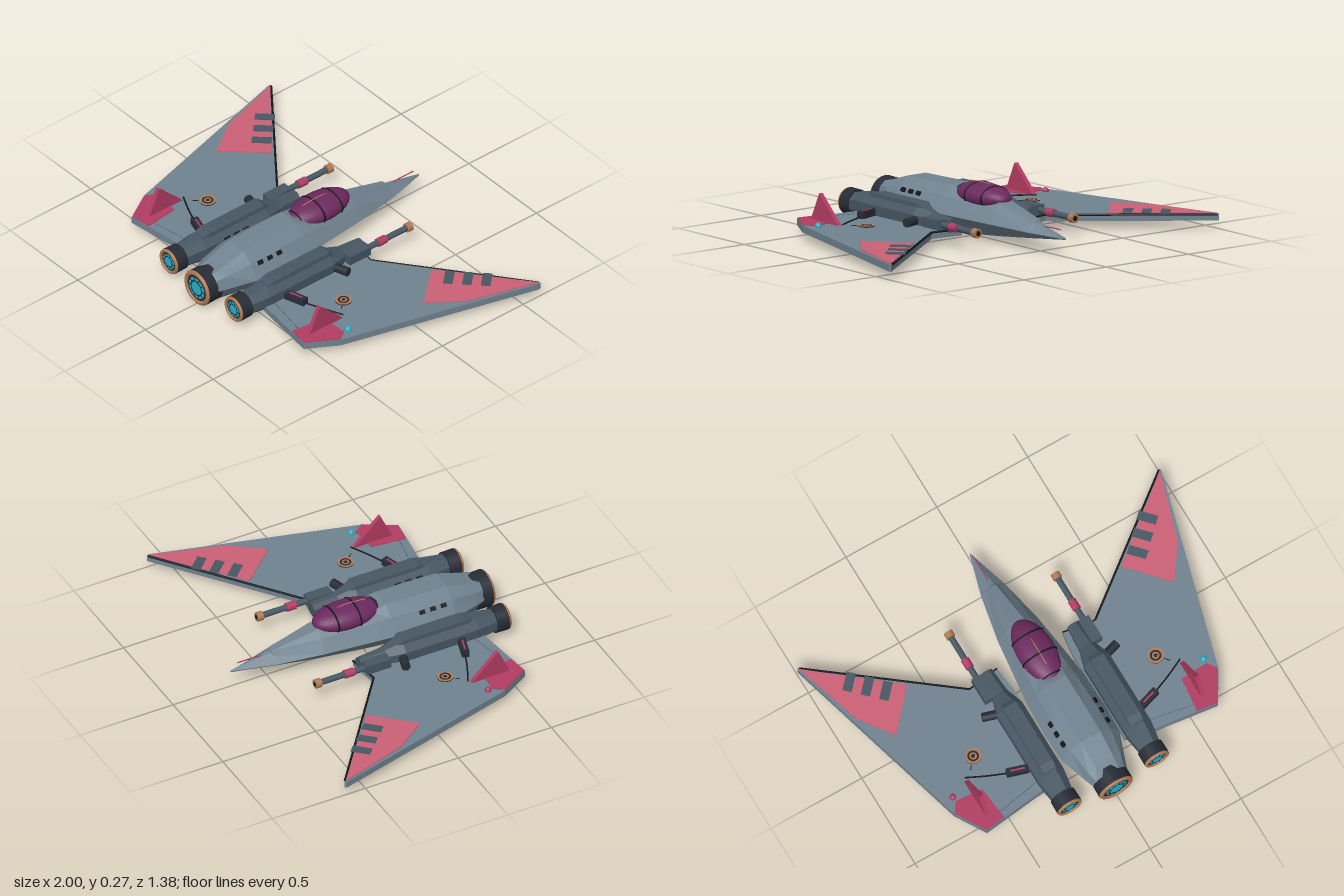
import * as THREE from 'three';

const mat = (name, color, extra = {}) => {
  const m = new THREE.MeshStandardMaterial({ color, ...extra });
  m.name = name;
  return m;
};

export function createModel() {
  const flat = { flatShading: true };
  const hullGrey = mat('hull grey', 0x708390, flat);
  const slate = mat('dark slate', 0x475763, flat);
  const charcoal = mat('charcoal', 0x272c36);
  const black = mat('black trim', 0x14161b);
  const copper = mat('copper', 0xb07a52);
  const cyan = mat('cyan glow', 0x27b3cc);
  const pink = mat('faded pink', 0xcc6075);
  const crimson = mat('crimson', 0xb23c62);
  const plum = mat('plum glass', 0x6c295f);

  const root = new THREE.Group();
  const add = (name, geo, material, x = 0, y = 0, z = 0, parent = root) => {
    const m = new THREE.Mesh(geo, material);
    m.name = name;
    m.position.set(x, y, z);
    parent.add(m);
    return m;
  };
  // cylinder along z from z0 (radius r0) to z1 (radius r1)
  const rod = (name, material, x, y, z0, z1, r0, r1 = r0, sides = 20) =>
    add(name, new THREE.CylinderGeometry(r1, r0, z1 - z0, sides).rotateX(Math.PI / 2), material, x, y, (z0 + z1) / 2);
  // horizontal plate from [x, z] corners, mirrored by s
  const plate = (name, pts, y, h, material, s) => {
    const shape = new THREE.Shape(pts.map(([x, z]) => new THREE.Vector2(x * s, -z)));
    const geo = new THREE.ExtrudeGeometry(shape, { depth: h, bevelEnabled: false }).rotateX(-Math.PI / 2);
    return add(name, geo, material, 0, y, 0);
  };
  const cable = (name, pts, r, material) => add(name, new THREE.TubeGeometry(
    new THREE.CatmullRomCurve3(pts.map(p => new THREE.Vector3(...p))), 8, r, 6), material);

  // body skin through closed rings, ordered by rising z
  const loft = rings => {
    const v = [], n = rings[0].length;
    for (let i = 0; i < rings.length - 1; i++) for (let j = 0; j < n; j++) {
      const a = rings[i][j], b = rings[i][(j + 1) % n], c = rings[i + 1][(j + 1) % n], d = rings[i + 1][j];
      v.push(...a, ...b, ...c, ...a, ...c, ...d);
    }
    const f = rings[0], e = rings[rings.length - 1];
    for (let j = 1; j < n - 1; j++) v.push(...f[0], ...f[j + 1], ...f[j], ...e[0], ...e[j], ...e[j + 1]);
    const g = new THREE.BufferGeometry();
    g.setAttribute('position', new THREE.Float32BufferAttribute(v, 3));
    g.computeVertexNormals();
    return g;
  };
  // z, bottom y, bottom half width, side y, side half width, shoulder y, shoulder half width, top y, top half width
  const sections = [
    [-0.69, 0.085, 0.001, 0.09, 0.002, 0.092, 0.002, 0.094, 0.001],
    [-0.485, 0.064, 0.025, 0.095, 0.062, 0.12, 0.03, 0.136, 0.012],
    [-0.478, 0.063, 0.026, 0.095, 0.064, 0.124, 0.032, 0.148, 0.016],
    [-0.24, 0.04, 0.05, 0.105, 0.112, 0.165, 0.07, 0.2, 0.035],
    [0.04, 0.016, 0.066, 0.11, 0.147, 0.185, 0.1, 0.216, 0.055],
    [0.115, 0.013, 0.07, 0.11, 0.155, 0.188, 0.106, 0.236, 0.055],
    [0.3, 0.009, 0.07, 0.11, 0.162, 0.186, 0.112, 0.231, 0.056],
    [0.44, 0.008, 0.07, 0.11, 0.157, 0.182, 0.11, 0.228, 0.055],
    [0.575, 0.018, 0.055, 0.1, 0.11, 0.16, 0.09, 0.186, 0.05],
    [0.625, 0.025, 0.05, 0.1, 0.092, 0.15, 0.075, 0.175, 0.045],
  ];
  add('fuselage', loft(sections.map(([z, yb, wb, ym, wm, ys, ws, yt, wt]) => [
    [-wb, yb, z], [wb, yb, z], [wm, ym, z], [ws, ys, z], [wt, yt, z], [-wt, yt, z], [-ws, ys, z], [-wm, ym, z],
  ])), hullGrey);

  // canopy with frame hoops and ridge
  const cz = -0.07, cy = 0.206, cw = 0.093, ch = 0.061, cl = 0.178;
  add('canopy', new THREE.SphereGeometry(1, 32, 20).scale(cw, ch, cl), plum, 0, cy, cz);
  for (const z of [-0.15, -0.035, 0.075]) {
    const k = Math.sqrt(1 - ((z - cz) / cl) ** 2);
    add('canopyFrame', new THREE.TorusGeometry(1, 0.055, 6, 36).scale(cw * k, ch * k, 0.09), black, 0, cy, z);
  }
  cable('canopyRidge', [[0, 0.262, -0.12], [0, 0.268, -0.07], [0, 0.262, 0.03]], 0.003, copper);
  // nose probe
  cable('noseProbe', [[0, 0.128, -0.655], [0, 0.128, -0.57], [0, 0.124, -0.5]], 0.003, crimson);

  // engine exhaust with rim, glowing disc and blades
  const exhaust = (x, y, z, r, len) => {
    rod('exhaustCollar', charcoal, x, y, z - len, z - 0.012, r * 0.98, r, 28);
    add('exhaustRim', new THREE.TorusGeometry(r * 0.86, r * 0.13, 10, 32), copper, x, y, z - r * 0.13);
    rod('exhaustThroat', charcoal, x, y, z - 0.02, z - 0.008, r * 0.75, r * 0.75, 28);
    add('exhaustGlow', new THREE.CircleGeometry(r * 0.62, 28), cyan, x, y, z - 0.006);
    add('exhaustRing', new THREE.RingGeometry(r * 0.38, r * 0.46, 28), charcoal, x, y, z - 0.004);
    for (let i = 0; i < 10; i++) {
      const a = i * Math.PI / 5;
      add('exhaustVane', new THREE.BoxGeometry(r * 0.17, r * 0.05, 0.002), charcoal,
        x + Math.cos(a) * r * 0.54, y + Math.sin(a) * r * 0.54, z - 0.004).rotation.z = a;
    }
  };
  exhaust(0, 0.094, 0.69, 0.092, 0.095);

  const wing = [[0.165, 0.48], [0.165, 0], [0.18, -0.13], [0.345, -0.105], [0.995, -0.61], [1, -0.6],
    [0.727, 0.4], [0.636, 0.553], [0.31, 0.512]];
  for (const s of [1, -1]) {
    // wing and painted panels
    plate('wing', wing, 0.042, 0.034, hullGrey, s);
    plate('tipPanel', [[0.992, -0.602], [0.59, -0.275], [0.765, -0.08], [0.885, -0.25]], 0.076, 0.004, pink, s);
    plate('rearPanel', [[0.55, 0.36], [0.69, 0.35], [0.724, 0.4], [0.636, 0.55], [0.53, 0.536]], 0.076, 0.004, crimson, s);
    for (const [x, z] of [[0.82, -0.425], [0.756, -0.362], [0.692, -0.298]]) {
      add('tipStripe', new THREE.BoxGeometry(0.095, 0.004, 0.045), slate, s * x, 0.081, z).rotation.y = -s * 0.82;
    }
    cable('leadingEdgeTrim', [[s * 0.345, 0.073, -0.105], [s * 0.67, 0.073, -0.3575], [s * 0.99, 0.073, -0.606]], 0.006, black);
    cable('rootEdgeTrim', [[s * 0.18, 0.073, -0.13], [s * 0.26, 0.073, -0.118], [s * 0.345, 0.073, -0.105]], 0.005, black);
    cable('panelSeam', [[s * 0.31, 0.076, 0.46], [s * 0.42, 0.076, 0.48], [s * 0.53, 0.076, 0.5]], 0.0015, slate);

    // tail fin
    const finShape = new THREE.Shape([[-0.285, 0.076], [-0.427, 0.212], [-0.49, 0.076]].map(p => new THREE.Vector2(...p)));
    add('tailFin', new THREE.ExtrudeGeometry(finShape, { depth: 0.022, bevelEnabled: false })
      .translate(0, 0, -0.011).rotateY(Math.PI / 2), crimson, s * 0.593);

    // round vent and marker light
    for (const [r0, r1, m] of [[0.028, 0.04, copper], [0.018, 0.028, charcoal], [0.01, 0.018, copper], [0, 0.01, charcoal]]) {
      add('wingVent', new THREE.RingGeometry(r0, r1, 24).rotateX(-Math.PI / 2), m, s * 0.502, 0.081, 0.195);
    }
    add('ventBase', new THREE.CylinderGeometry(0.04, 0.04, 0.006, 24), charcoal, s * 0.502, 0.0775, 0.195);
    cable('ventLine', [[s * 0.53, 0.077, 0.225], [s * 0.54, 0.077, 0.24], [s * 0.55, 0.077, 0.25]], 0.002, black);
    add('markerLight', new THREE.SphereGeometry(0.016, 16, 12), s > 0 ? cyan : crimson, s * 0.69, 0.08, 0.325);

    // side engine nacelle
    const nx = s * 0.24, ny = 0.096;
    const profile = [[-0.13, 0.032], [0, 0.042], [0.09, 0.07], [0.48, 0.07], [0.59, 0.054]];
    add('nacelle', loft(profile.map(([z, r]) => Array.from({ length: 8 }, (_, i) => {
      const a = (i + 0.5) * Math.PI / 4;
      return [nx + Math.cos(a) * r * 1.06, ny + Math.sin(a) * r * 1.06, z];
    }))), slate);
    add('nacelleCover', loft([[0.04, 0.025, 0.14], [0.09, 0.045, 0.174], [0.43, 0.045, 0.174], [0.52, 0.035, 0.15]]
      .map(([z, w, y]) => [[nx - w, 0.1, z], [nx + w, 0.1, z], [nx + w * 0.8, y, z], [nx - w * 0.8, y, z]])), slate);
    exhaust(nx, ny, 0.662, 0.066, 0.075);

    // cannon
    const gx = s * 0.294, gy = 0.106;
    add('cannonBreech', new THREE.BoxGeometry(0.056, 0.048, 0.13), slate, gx, gy, -0.062);
    rod('cannonBarrel', slate, gx, gy, -0.37, -0.1, 0.015);
    rod('cannonBand', crimson, gx, gy, -0.237, -0.187, 0.021);
    rod('cannonMuzzle', copper, gx, gy, -0.395, -0.365, 0.023);
    rod('cannonBore', black, gx, gy, -0.397, -0.39, 0.012);

    // side stub, strut and cable
    const stub = add('sideStub', new THREE.CylinderGeometry(0.022, 0.022, 0.09, 16).rotateZ(Math.PI / 2), charcoal, s * 0.328, 0.097, 0.068);
    stub.rotation.y = s * 0.3;
    const strut = new THREE.Group();
    strut.name = 'wingStrut';
    strut.position.set(s * 0.36, 0.09, 0.37);
    strut.rotation.y = s * 0.3;
    root.add(strut);
    add('strutBody', new THREE.BoxGeometry(0.11, 0.04, 0.036), charcoal, 0, 0, 0, strut);
    add('strutStripe', new THREE.BoxGeometry(0.07, 0.004, 0.008), crimson, 0, 0.021, 0, strut);
    cable('wingCable', [[s * 0.41, 0.085, 0.353], [s * 0.5, 0.083, 0.315], [s * 0.592, 0.081, 0.27]], 0.004, black);

    // fuselage slots
    for (const z of [0.275, 0.332, 0.39]) {
      add('fuselageSlot', new THREE.BoxGeometry(0.02, 0.012, 0.026), black, s * 0.122, 0.176, z).rotation.z = -s * 0.9;
    }
  }
  return root;
}
